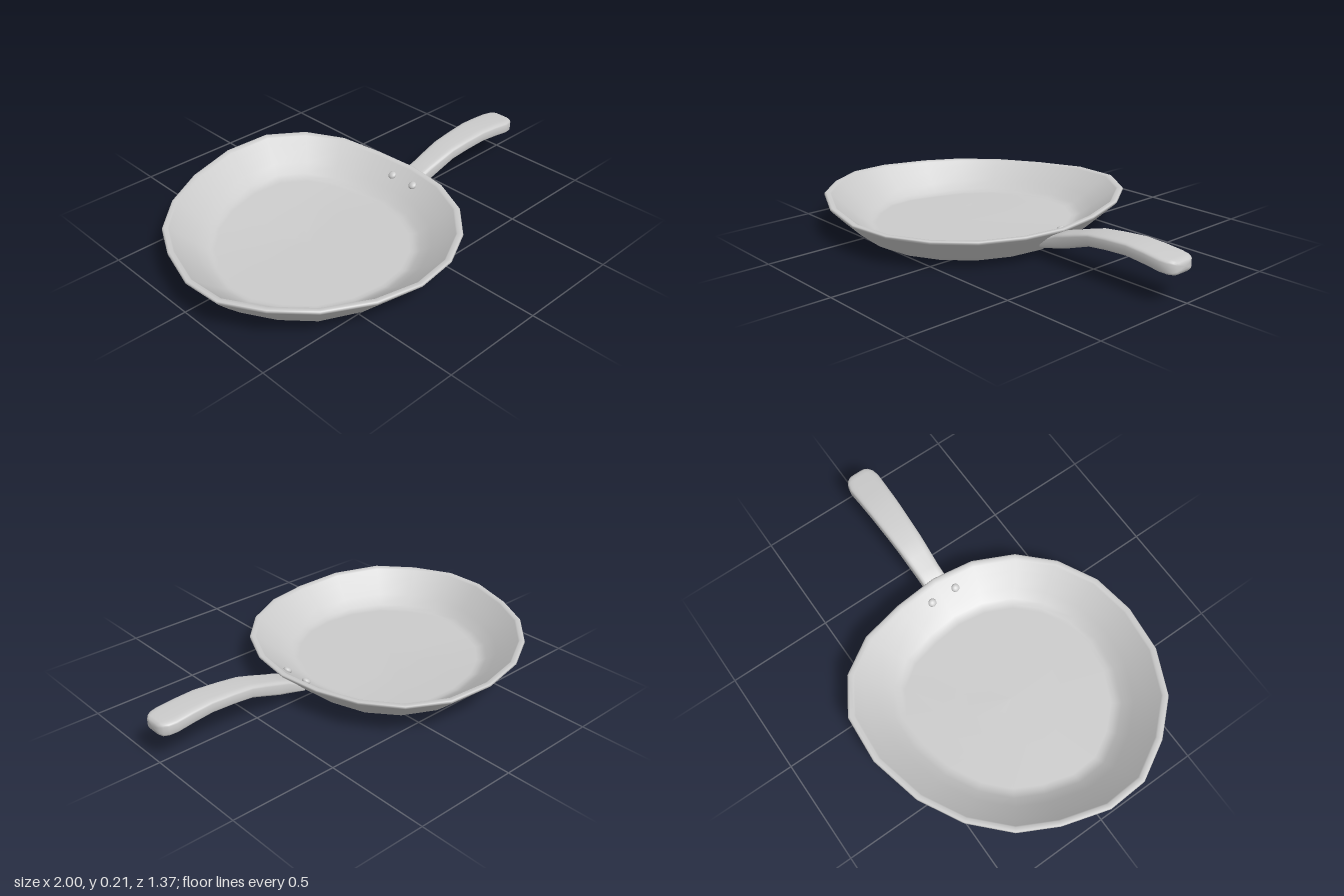
import * as THREE from 'three';

const material = new THREE.MeshStandardMaterial({ color: 0xcccccc });

// Skin a surface over a list of closed rings with equal point counts.
function loft(rings) {
  const n = rings[0].length;
  const index = [];
  for (let j = 0; j < rings.length - 1; j++) {
    for (let i = 0; i < n; i++) {
      const k = (i + 1) % n;
      const a = j * n + i, b = j * n + k, c = a + n, d = b + n;
      index.push(a, c, b, b, c, d);
    }
  }
  const geometry = new THREE.BufferGeometry();
  geometry.setAttribute('position', new THREE.Float32BufferAttribute(rings.flat(2), 3));
  geometry.setIndex(index);
  geometry.computeVertexNormals();
  return geometry;
}

function addMesh(parent, name, geometry) {
  const mesh = new THREE.Mesh(geometry, material);
  mesh.name = name;
  parent.add(mesh);
  return mesh;
}

// Uneven hand-shaped rim: [x, z, height]
const RIM = [
  [0.34, 0.02, 0.146], [0.31, 0.22, 0.147], [0.22, 0.41, 0.147], [0.075, 0.555, 0.147],
  [-0.11, 0.65, 0.147], [-0.315, 0.68, 0.15], [-0.54, 0.65, 0.168], [-0.75, 0.55, 0.18],
  [-0.89, 0.4, 0.178], [-0.99, 0.22, 0.174], [-1, 0.03, 0.171], [-0.935, -0.19, 0.168],
  [-0.845, -0.365, 0.165], [-0.685, -0.52, 0.164], [-0.485, -0.63, 0.167], [-0.24, -0.69, 0.18],
  [-0.01, -0.675, 0.185], [0.16, -0.57, 0.178], [0.27, -0.4, 0.168], [0.32, -0.19, 0.152],
];
const CENTRE_X = -0.32;

// Pan wall profile: [scale of the rim outline, base height, share of the rim height]
const PROFILE = [
  [0, 0, 0], [0.3, 0, 0], [0.55, 0, 0], [0.73, 0.001, 0], [0.765, 0.006, 0], [0.8, 0.02, 0],
  [0.9, 0.02, 0.45], [0.988, 0.01, 0.88], [1, 0, 0.95], [0.995, 0, 0.99],
  [0.985, 0, 1], [0.962, 0, 0.995], [0.952, 0, 0.955],
  [0.9, 0.02, 0.73], [0.8, 0.022, 0.32], [0.73, 0.024, 0.06], [0.69, 0.022, 0],
  [0.66, 0.022, 0], [0.35, 0.022, 0], [0, 0.022, 0],
];

function panGeometry() {
  return loft(PROFILE.map(([scale, base, share]) => RIM.map(([x, z, h]) => {
    const pz = z * scale;
    // The underside curls up gently toward the back.
    const lift = 0.032 * Math.pow(Math.min(1, Math.max(0, (-pz - 0.15) / 0.4)), 1.3);
    const y = (base + lift) * (1 - share) + h * share;
    return [CENTRE_X + (x - CENTRE_X) * scale, y, pz];
  })));
}

// Handle stations: [x, underside y, top y, half width]
const HANDLE = [
  [0.245, 0.048, 0.085, 0.054], [0.25, 0.046, 0.09, 0.059], [0.34, 0.066, 0.136, 0.058],
  [0.39, 0.078, 0.15, 0.058], [0.47, 0.106, 0.174, 0.062], [0.54, 0.13, 0.193, 0.065],
  [0.64, 0.142, 0.204, 0.069], [0.755, 0.15, 0.212, 0.074], [0.85, 0.142, 0.207, 0.077],
  [0.93, 0.133, 0.199, 0.08], [0.965, 0.13, 0.196, 0.073], [0.985, 0.13, 0.193, 0.06],
  [0.996, 0.138, 0.186, 0.045], [1, 0.15, 0.175, 0.025],
];

function handleGeometry() {
  const sides = 24;
  const round = (v) => Math.sign(v) * Math.pow(Math.abs(v), 0.45);
  const rings = HANDLE.map(([x, low, high, half]) => {
    const ring = [];
    for (let i = 0; i < sides; i++) {
      const a = (i / sides) * Math.PI * 2;
      ring.push([
        x,
        (low + high) / 2 + round(Math.cos(a)) * (high - low) / 2,
        0.026 - round(Math.sin(a)) * half,
      ]);
    }
    return ring;
  });
  // Close both ends with a ring shrunk to a point.
  const cap = ([x, low, high]) => Array.from({ length: sides }, () => [x, (low + high) / 2, 0.026]);
  return loft([cap(HANDLE[0]), ...rings, cap(HANDLE[HANDLE.length - 1])]);
}

export function createModel() {
  const model = new THREE.Group();
  model.name = 'fryingPan';

  addMesh(model, 'pan', panGeometry());
  addMesh(model, 'handle', handleGeometry());

  // Two domed rivets on the inner wall where the handle joins
  for (const z of [-0.045, 0.087]) {
    const rivet = addMesh(model, 'rivet', new THREE.SphereGeometry(0.02, 16, 10));
    rivet.scale.y = 0.65;
    rivet.rotation.z = 0.6;
    rivet.position.set(0.252, 0.109, z);
  }
  return model;
}
